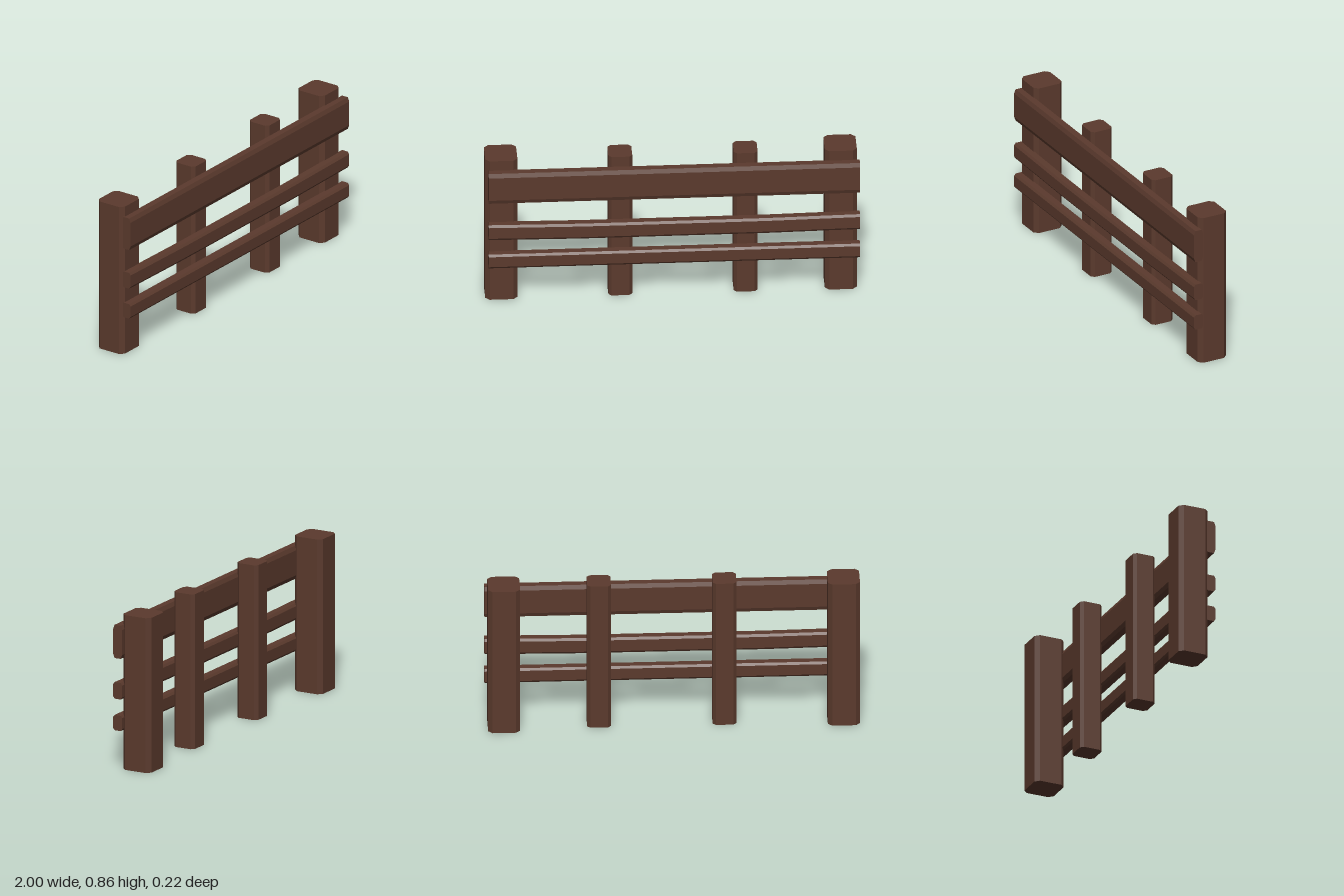
import * as THREE from 'three';

// Rectangle with its four corners cut: cu along u, cv along v
function cutRect(u0, u1, v0, v1, cu, cv) {
  return new THREE.Shape([
    [u0 + cu, v0], [u1 - cu, v0], [u1, v0 + cv], [u1, v1 - cv],
    [u1 - cu, v1], [u0 + cu, v1], [u0, v1 - cv], [u0, v0 + cv],
  ].map(([u, v]) => new THREE.Vector2(u, v)));
}

export function createModel() {
  const group = new THREE.Group();
  const wood = new THREE.MeshStandardMaterial({ color: 0x5b3a2d });
  wood.name = 'dark brown wood';

  const add = (name, geometry) => {
    const mesh = new THREE.Mesh(geometry, wood);
    mesh.name = name;
    group.add(mesh);
  };

  // Upright post with bevelled vertical edges
  const post = (name, x0, x1, z0, z1, cut) => {
    const g = new THREE.ExtrudeGeometry(cutRect(x0, x1, -z1, -z0, cut, cut),
      { depth: 0.857, bevelEnabled: false });
    g.rotateX(-Math.PI / 2);
    add(name, g);
  };
  post('rightEndPost', -1, -0.828, -0.107, 0.065, 0.023);
  post('rightMiddlePost', -0.342, -0.214, -0.07, 0.058, 0.017);
  post('leftMiddlePost', 0.328, 0.456, -0.07, 0.058, 0.017);
  post('leftEndPost', 0.815, 0.986, -0.107, 0.065, 0.023);

  // Horizontal rail with bevelled long edges and an optional sag
  const rail = (name, y0, y1, cutY, sag = 0) => {
    const x0 = -0.985, x1 = 1, steps = sag ? 8 : 1;
    const g = new THREE.ExtrudeGeometry(cutRect(-0.108, -0.052, y0, y1, 0.009, cutY),
      { depth: x1 - x0, steps, bevelEnabled: false });
    g.rotateY(Math.PI / 2);
    g.translate(x0, 0, 0);
    const p = g.attributes.position;
    for (let i = 0; i < p.count; i++) {
      const t = THREE.MathUtils.clamp((Math.abs(p.getX(i)) - 0.49) / 0.5, 0, 1);
      p.setY(i, p.getY(i) - sag * (1 - t));
    }
    g.computeVertexNormals();
    add(name, g);
  };
  rail('topRail', 0.615, 0.799, 0.023);
  rail('middleRail', 0.39, 0.482, 0.013, 0.007);
  rail('bottomRail', 0.215, 0.3, 0.012);

  return group;
}
